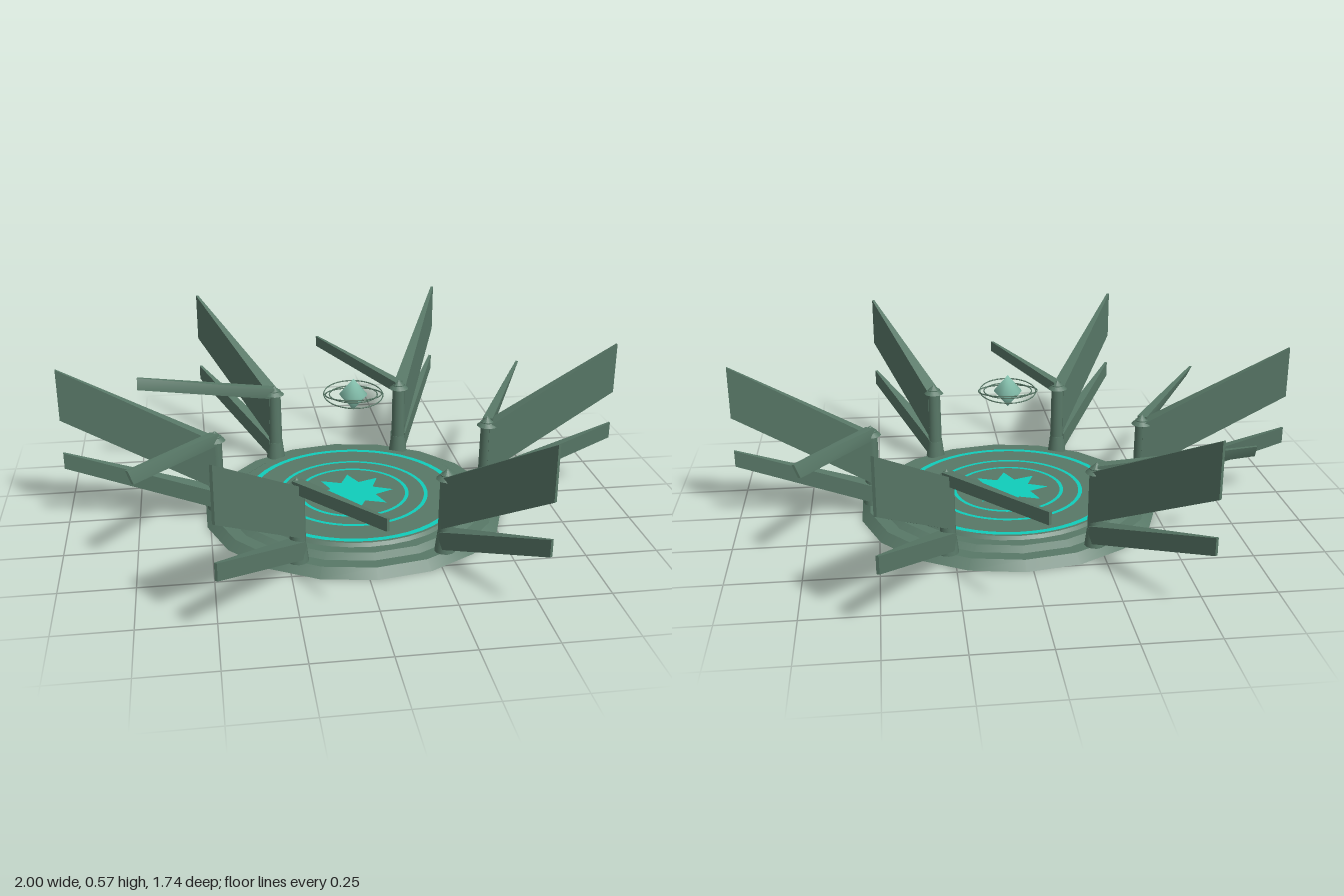
import * as THREE from 'three';

const stone = new THREE.MeshStandardMaterial({ color: 0x587867 });
stone.name = 'mossy stone';
const glow = new THREE.MeshStandardMaterial({ color: 0x10cdbb });
glow.name = 'teal inlay';
const crystalMat = new THREE.MeshStandardMaterial({ color: 0x8ccab6 });
crystalMat.name = 'pale crystal';

const CX = 0.025, CZ = 0.018; // platform centre

function add(parent, name, geometry, material, x = 0, y = 0, z = 0) {
  const mesh = new THREE.Mesh(geometry, material);
  mesh.name = name;
  mesh.position.set(x, y, z);
  parent.add(mesh);
  return mesh;
}

// Tapered blade between two upright end sections {x, z, low, high, half, lean}
function bladeGeometry(root, tip) {
  const d = new THREE.Vector2(tip.x - root.x, tip.z - root.z).normalize();
  const g = new THREE.BoxGeometry(1, 1, 1);
  const p = g.attributes.position;
  for (let i = 0; i < p.count; i++) {
    const end = p.getX(i) < 0 ? root : tip;
    const up = p.getY(i) > 0;
    const side = Math.sign(p.getZ(i)) * end.half + (up ? 1 : -1) * (end.lean || 0);
    p.setXYZ(i, end.x - d.y * side, up ? end.high : end.low, end.z + d.x * side);
  }
  g.computeVertexNormals();
  return g;
}

// Flat ring lying on the platform
function inlayRing(parent, outer, width) {
  const ring = new THREE.RingGeometry(outer - width, outer, 48);
  ring.rotateX(-Math.PI / 2);
  add(parent, 'inlayRing', ring, glow, 0, 0.0595, 0);
}

export function createModel() {
  const model = new THREE.Group();
  model.name = 'crystalPlatform';

  // Stepped platform
  const platform = new THREE.Group();
  platform.name = 'platform';
  platform.position.set(CX, 0, CZ);
  model.add(platform);
  add(platform, 'lowerTier', new THREE.CylinderGeometry(0.515, 0.545, 0.03, 18), stone, 0, 0.015, 0);
  add(platform, 'middleTier', new THREE.CylinderGeometry(0.445, 0.47, 0.018, 18), stone, 0, 0.038, 0);
  add(platform, 'upperTier', new THREE.CylinderGeometry(0.395, 0.405, 0.013, 36), stone, 0, 0.052, 0);

  // Glowing floor inlays
  inlayRing(platform, 0.386, 0.02);
  inlayRing(platform, 0.274, 0.014);
  inlayRing(platform, 0.204, 0.013);
  const star = new THREE.Shape();
  for (let i = 0; i < 16; i++) {
    const r = i % 2 ? 0.085 : 0.15;
    const a = (i * Math.PI) / 8;
    star[i ? 'lineTo' : 'moveTo'](r * Math.cos(a), r * Math.sin(a));
  }
  const starGeometry = new THREE.ShapeGeometry(star);
  starGeometry.rotateX(-Math.PI / 2);
  add(platform, 'inlayStar', starGeometry, glow, 0, 0.0595, 0);

  // Six pillars with their blades
  for (let i = 0; i < 6; i++) {
    const a = (i * Math.PI) / 3;
    const x = CX + 0.495 * Math.cos(a), z = CZ + 0.495 * Math.sin(a);
    const pylon = new THREE.Group();
    pylon.name = 'pylon';
    model.add(pylon);
    add(pylon, 'pillarBase', new THREE.CylinderGeometry(0.028, 0.036, 0.065, 12), stone, x, 0.0625, z);
    add(pylon, 'pillar', new THREE.CylinderGeometry(0.024, 0.027, 0.23, 12), stone, x, 0.195, z);
    add(pylon, 'pillarCap', new THREE.ConeGeometry(0.038, 0.036, 12), stone, x, 0.312, z);

    const tx = 0.998 * Math.cos(a), tz = 0.998 * Math.sin(a) - 0.01;
    add(pylon, 'upperBlade', bladeGeometry(
      { x, z, low: 0.115, high: 0.3, half: 0.026 },
      { x: tx, z: tz, low: 0.39, high: 0.575, half: 0.005 }), stone);
    add(pylon, 'lowerBlade', bladeGeometry(
      { x, z, low: 0.04, high: 0.105, half: 0.03 },
      { x: tx, z: tz, low: 0.208, high: 0.267, half: 0.005 }), stone);

    // Side arm, absent on the front left pillar
    if (i === 1) continue;
    const b = a - Math.PI / 6;
    const upright = Math.abs(Math.cos(b)) < 0.1;
    add(pylon, 'sideArm', bladeGeometry(
      { x, z, low: 0.28, high: 0.322, half: 0.018 },
      {
        x: 0.865 * Math.cos(b), z: 0.865 * Math.sin(b) - 0.005,
        low: 0.335, high: 0.377, half: 0.005, lean: upright ? 0 : 0.01,
      }), stone);
  }

  // Floating crystal with thin orbiting rings
  const floating = new THREE.Group();
  floating.name = 'floatingCrystal';
  floating.position.set(CX, 0.442, CZ);
  model.add(floating);
  add(floating, 'crystal', new THREE.SphereGeometry(0.054, 16, 2), crystalMat).scale.set(0.92, 1.08, 0.92);
  for (const [radius, tilt] of [[0.105, 0.13], [0.1, -0.13], [0.085, 0]]) {
    const ring = new THREE.TorusGeometry(radius, 0.0022, 6, 40);
    ring.rotateX(Math.PI / 2 + tilt);
    add(floating, 'orbitRing', ring, stone);
  }
  return model;
}
